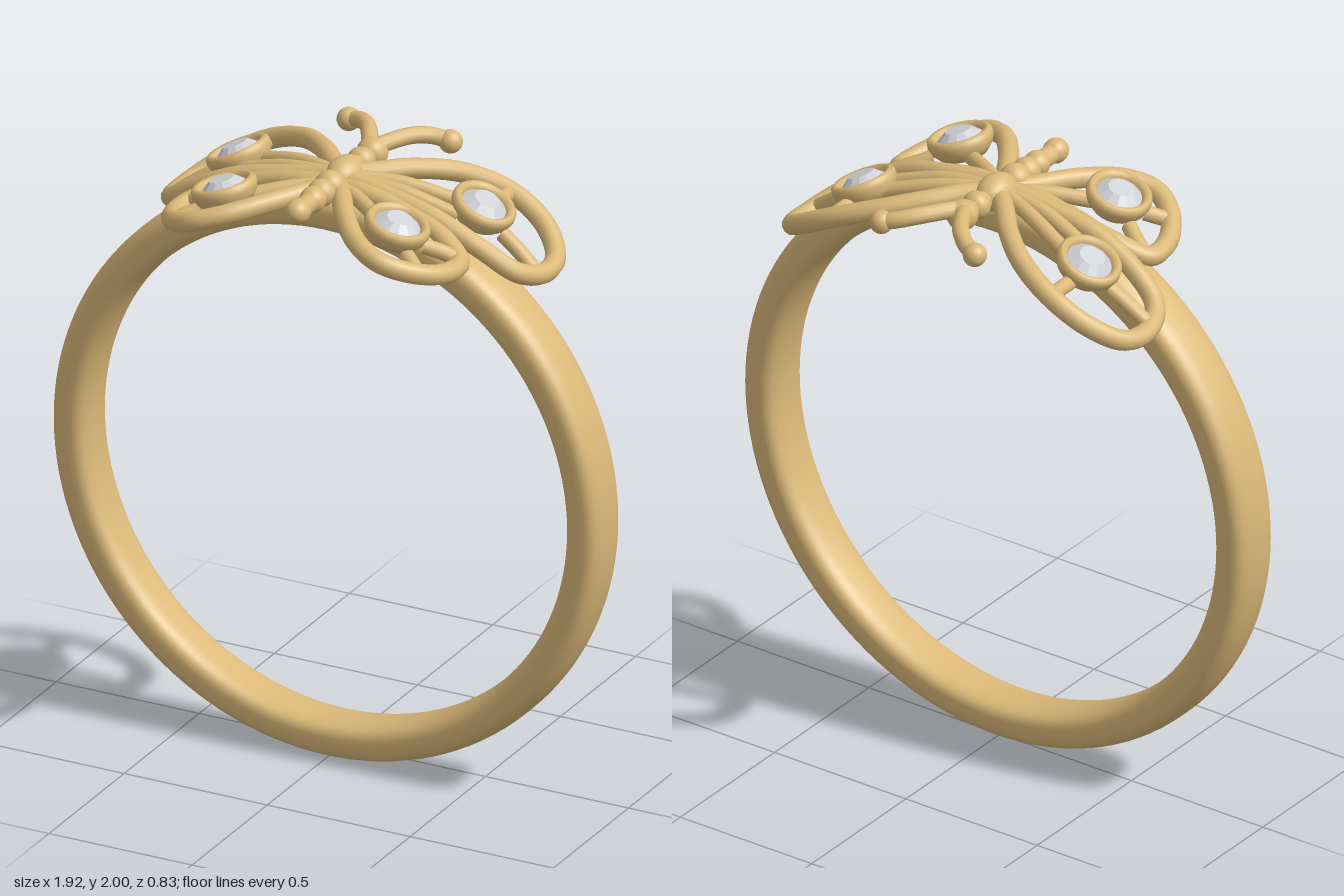
import * as THREE from 'three';

const V = (x, y, z) => new THREE.Vector3(x, y, z);
const CENTRE_Y = 0.96;

// Lifts a point of the flat wing plan onto a cylinder around the ring's axis
const wrap = (x, z, r) => V(x, CENTRE_Y + Math.sqrt(r * r - x * x), z);

export function createModel() {
  const gold = new THREE.MeshStandardMaterial({ color: 0xdab878 });
  gold.name = 'gold';
  const crystal = new THREE.MeshStandardMaterial({ color: 0xd2d3d8 });
  crystal.name = 'crystal';

  const model = new THREE.Group();
  model.name = 'butterflyRing';

  const add = (parent, name, geometry, material = gold) => {
    const mesh = new THREE.Mesh(geometry, material);
    mesh.name = name;
    parent.add(mesh);
    return mesh;
  };
  const ball = (parent, name, r, p, stretch = 1) => {
    const mesh = add(parent, name, new THREE.SphereGeometry(r, 24, 16));
    mesh.position.copy(p);
    mesh.scale.z = stretch;
    return mesh;
  };
  const tube = (parent, name, points, r, segments = 16) => add(parent, name,
    new THREE.TubeGeometry(new THREE.CatmullRomCurve3(points, false, 'centripetal'), segments, r, 12));

  // Band: rounded section turned around z, slightly wider at the top
  const profile = [];
  const soften = v => Math.sign(v) * Math.pow(Math.abs(v), 2 / 3);
  for (let i = 0; i <= 40; i++) {
    const t = i / 40 * Math.PI * 2;
    profile.push(new THREE.Vector2(0.897 + 0.0625 * soften(Math.cos(t)), 0.095 * soften(Math.sin(t))));
  }
  const band = new THREE.LatheGeometry(profile, 128).rotateX(Math.PI / 2);
  const pos = band.attributes.position;
  for (let i = 0; i < pos.count; i++) pos.setZ(i, pos.getZ(i) * (1 + 0.07 * pos.getY(i)));
  add(model, 'band', band).position.set(0, CENTRE_Y, 0.042);

  // Body: beads from head to tail as [z, radius, stretch]
  const body = new THREE.Group();
  body.name = 'body';
  model.add(body);
  [[-0.2, 0.05, 1], [-0.125, 0.046, 0.9], [-0.02, 0.058, 1.4], [0.08, 0.05, 1],
    [0.14, 0.045, 1], [0.195, 0.042, 1.1], [0.295, 0.04, 1.1]].forEach(([z, r, s], i) =>
    ball(body, 'bodySegment' + (i + 1), r, V(0, 1.94, z), s));
  tube(body, 'bodyCore', [V(0, 1.94, -0.2), V(0, 1.94, 0.05), V(0, 1.94, 0.29)], 0.032);

  // Settings: cup with rounded rim and a faceted stone
  const cup = [[0, -0.045], [0.075, -0.045], [0.097, -0.02], [0.106, 0.005], [0.104, 0.022],
    [0.094, 0.031], [0.082, 0.028], [0.074, 0.016], [0.07, 0], [0, 0]]
    .map(p => new THREE.Vector2(...p));
  const cupGeometry = new THREE.LatheGeometry(cup, 32);
  const stoneGeometry = new THREE.CylinderGeometry(0.042, 0.078, 0.03, 12).toNonIndexed();
  stoneGeometry.computeVertexNormals();

  const setting = (parent, x, z, r) => {
    const group = new THREE.Group();
    group.name = 'stoneSetting';
    group.position.copy(wrap(x, z, r));
    group.rotation.z = -Math.asin(x / r);
    add(group, 'bezel', cupGeometry);
    add(group, 'stone', stoneGeometry, crystal).position.y = 0.024;
    parent.add(group);
  };

  // Wing plans in (x, z) for the model's left side
  const wings = [
    {
      name: 'upperWing', r: 0.98, stone: [0.425, -0.125, 1.005],
      outline: [[0.02, -0.03], [0.08, -0.09], [0.16, -0.18], [0.28, -0.275], [0.42, -0.322], [0.55, -0.3],
        [0.63, -0.22], [0.642, -0.11], [0.6, -0.015], [0.5, 0.02], [0.33, 0.03], [0.02, 0.01]],
      veins: [
        [[0.02, -0.01], [0.18, -0.07], [0.34, -0.12]],
        [[0.02, 0.0], [0.2, -0.02], [0.38, -0.05]],
        [[0.42, -0.2], [0.42, -0.26], [0.42, -0.32]],
        [[0.5, -0.115], [0.56, -0.105], [0.64, -0.09]]
      ]
    },
    {
      name: 'lowerWing', r: 0.965, stone: [0.3, 0.21, 1.0],
      outline: [[0.02, 0.03], [0.12, 0.045], [0.25, 0.045], [0.38, 0.07], [0.475, 0.125], [0.475, 0.22],
        [0.42, 0.32], [0.33, 0.375], [0.24, 0.345], [0.14, 0.24], [0.02, 0.05]],
      veins: [
        [[0.02, 0.04], [0.12, 0.1], [0.23, 0.17]],
        [[0.37, 0.17], [0.42, 0.14], [0.47, 0.12]],
        [[0.36, 0.26], [0.4, 0.29], [0.43, 0.31]]
      ]
    }
  ];

  for (const side of [1, -1]) {
    const label = side > 0 ? 'left' : 'right';
    for (const w of wings) {
      const wing = new THREE.Group();
      wing.name = label + w.name[0].toUpperCase() + w.name.slice(1);
      model.add(wing);
      const path = plan => plan.map(([x, z]) => wrap(side * x, z, w.r));
      tube(wing, 'wingOutline', path(w.outline), 0.033, 96);
      w.veins.forEach(v => tube(wing, 'wingVein', path(v), 0.025));
      setting(wing, side * w.stone[0], w.stone[1], w.stone[2]);
    }
    // Antenna with ball tip
    const antenna = new THREE.Group();
    antenna.name = label + 'Antenna';
    model.add(antenna);
    const tip = V(side * 0.178, 1.94, -0.382);
    tube(antenna, 'antennaStem', [V(0, 1.955, -0.18), V(side * 0.03, 1.963, -0.24),
      V(side * 0.08, 1.965, -0.32), V(side * 0.13, 1.955, -0.365), tip], 0.027, 32);
    ball(antenna, 'antennaTip', 0.038, tip);
  }
  return model;
}
